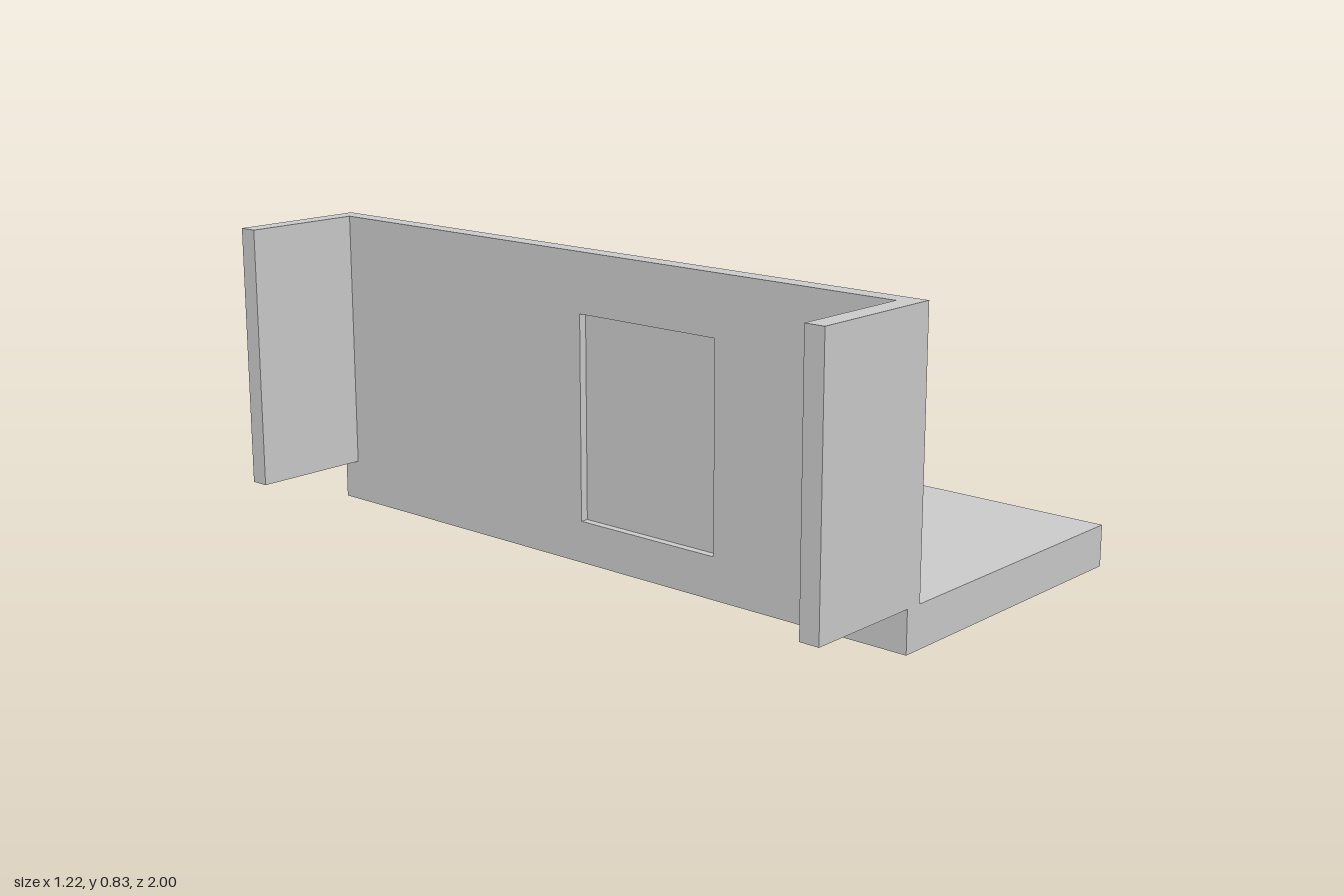
import * as THREE from 'three';

const material = new THREE.MeshStandardMaterial({ color: 0xcccccc, side: THREE.DoubleSide });

// Box given by its limits on each axis
function box(parent, name, [x0, x1], [y0, y1], [z0, z1]) {
  const mesh = new THREE.Mesh(new THREE.BoxGeometry(x1 - x0, y1 - y0, z1 - z0), material);
  mesh.position.set((x0 + x1) / 2, (y0 + y1) / 2, (z0 + z1) / 2);
  mesh.name = name;
  parent.add(mesh);
  return mesh;
}

const polygon = (Type, points) => new Type(points.map(([a, b]) => new THREE.Vector2(a, b)));
const rect = (z0, z1, y0, y1) => [[-z0, y0], [-z1, y0], [-z1, y1], [-z0, y1]];

// Slab facing +x with a rectangular opening, drawn in (-z, y)
function slabWithOpening(parent, name, outer, inner, x0, x1) {
  const shape = polygon(THREE.Shape, outer);
  shape.holes.push(polygon(THREE.Path, inner));
  const geometry = new THREE.ExtrudeGeometry(shape, { depth: x1 - x0, bevelEnabled: false });
  geometry.rotateY(Math.PI / 2);
  const mesh = new THREE.Mesh(geometry, material);
  mesh.position.x = x0;
  mesh.name = name;
  parent.add(mesh);
}

export function createModel() {
  const model = new THREE.Group();
  model.name = 'shopFront';
  const ground = 0.113, top = 0.83, back = -0.985;

  // Pavement and facade with a doorway
  box(model, 'pavement', [-0.275, 0.605], [0, ground], [back, 1]);
  slabWithOpening(model, 'facade', rect(back, 1, ground, top),
    rect(-0.037, 0.415, ground + 0.0005, 0.668), -0.275, -0.225);

  // Return walls at both ends
  box(model, 'leftReturnWall', [-0.61, -0.275], [ground, top], [0.945, 1]);
  box(model, 'rightReturnWall', [-0.61, -0.275], [ground, top], [back, -0.933]);

  // Recessed door with a long pull handle
  const door = new THREE.Group();
  door.name = 'door';
  box(door, 'doorPanel', [-0.253, -0.248], [ground, 0.668], [-0.037, 0.415]);
  box(door, 'doorHandle', [-0.248, -0.236], [0.27, 0.49], [-0.011, -0.002]);
  model.add(door);

  // Blank slanted blade sign beside the door
  const plate = polygon(THREE.Shape, [[-0.222, 0.452], [-0.168, 0.472], [-0.163, 0.655], [-0.22, 0.625]]);
  const sign = new THREE.Mesh(
    new THREE.ExtrudeGeometry(plate, { depth: 0.004, bevelEnabled: false }), material);
  sign.position.z = 0.42;
  sign.name = 'bladeSign';
  model.add(sign);

  // Open cabinet of three columns and eight rows
  const cabinet = new THREE.Group();
  cabinet.name = 'vendingCabinet';
  const depth = [-0.212, -0.057], t = 0.003;
  const z0 = -0.931, z1 = -0.519, y1 = 0.627;
  box(cabinet, 'cabinetBack', [-0.212, -0.207], [ground, y1], [z0, z1]);
  [z0 + t, -0.793, -0.657, z1 - t].forEach((z) =>
    box(cabinet, 'upright', depth, [ground, y1], [z - t, z + t]));
  [ground + t, 0.178, 0.273, 0.327, 0.381, 0.435, 0.492, 0.542, y1 - t].forEach((y) =>
    box(cabinet, 'shelf', depth, [y - t, y + t], [z0, z1]));
  model.add(cabinet);

  // Control box on the cabinet side, with a raised frame
  const control = new THREE.Group();
  control.name = 'controlBox';
  box(control, 'controlCase', [-0.132, -0.057], [0.28, 0.49], [-1, z0]);
  slabWithOpening(control, 'controlFrame', rect(-0.984, -0.952, 0.295, 0.363),
    rect(-0.978, -0.958, 0.301, 0.357), -0.057, -0.051);
  model.add(control);

  return model;
}
